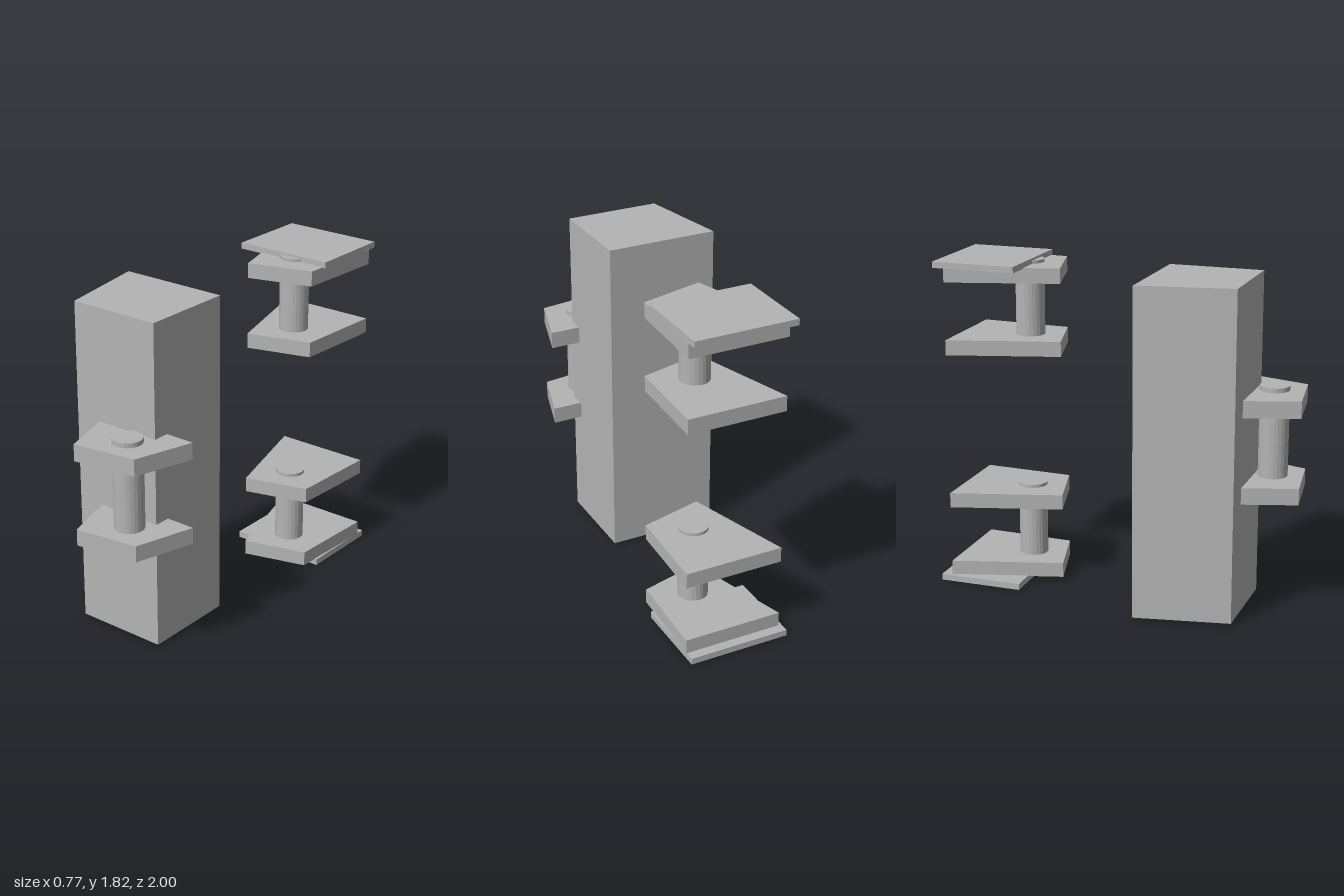
import * as THREE from 'three';

const grey = new THREE.MeshStandardMaterial({ color: 0xb4b4b4 });
grey.name = 'plain grey';

// Upright prism from an [x, z] outline between two heights
function prism(name, outline, y0, y1) {
  const shape = new THREE.Shape(outline.map(([x, z]) => new THREE.Vector2(x, -z)));
  const geometry = new THREE.ExtrudeGeometry(shape, { depth: y1 - y0, bevelEnabled: false });
  geometry.rotateX(-Math.PI / 2).translate(0, y0, 0);
  const mesh = new THREE.Mesh(geometry, grey);
  mesh.name = name;
  return mesh;
}

// Faceted vertical pin
function pin(name, x, z, y0, y1) {
  const geometry = new THREE.CylinderGeometry(0.08, 0.08, y1 - y0, 24).toNonIndexed();
  geometry.computeVertexNormals();
  const mesh = new THREE.Mesh(geometry, grey);
  mesh.name = name;
  mesh.position.set(x, (y0 + y1) / 2, z);
  return mesh;
}

// Two hinge plates joined by a pin
function hinge(name, outline, plates, pinSpec) {
  const group = new THREE.Group();
  group.name = name;
  plates.forEach(([y0, y1], i) => group.add(prism(i ? 'upperPlate' : 'lowerPlate', outline, y0, y1)));
  group.add(pin('hingePin', ...pinSpec));
  return group;
}

export function createModel() {
  const model = new THREE.Group();
  model.name = 'hingeAssembly';

  // Tall block with one slanted side
  const block = [[-0.39, 0.195], [0.22, 0.195], [0.22, 0.712], [-0.295, 0.712]];
  model.add(prism('mainBlock', block, 0.013, 1.803));

  // Front hinge, let into the block
  const frontPlate = [[-0.178, 0.62], [0.385, 0.62], [0.29, 0.95], [-0.06, 1]];
  model.add(hinge('frontHinge', frontPlate, [[0.628, 0.718], [1.098, 1.19]], [0.127, 0.81, 0.603, 1.215]));

  // Rear hinges, each with a thin cover on its outer end
  const rearPlate = [[-0.187, -0.945], [0.357, -0.945], [0.334, -0.438], [-0.015, -0.343]];
  model.add(hinge('lowerRearHinge', rearPlate, [[0.032, 0.114], [0.432, 0.515]], [0.125, -0.574, 0.015, 0.532]));
  model.add(hinge('upperRearHinge', rearPlate, [[1.303, 1.386], [1.703, 1.786]], [0.125, -0.574, 1.286, 1.803]));

  const cover = [[-0.205, -1], [0.354, -1], [0.354, -0.533], [-0.205, -0.533]];
  model.add(prism('bottomCover', cover, 0, 0.035));
  model.add(prism('topCover', cover, 1.782, 1.816));

  return model;
}
